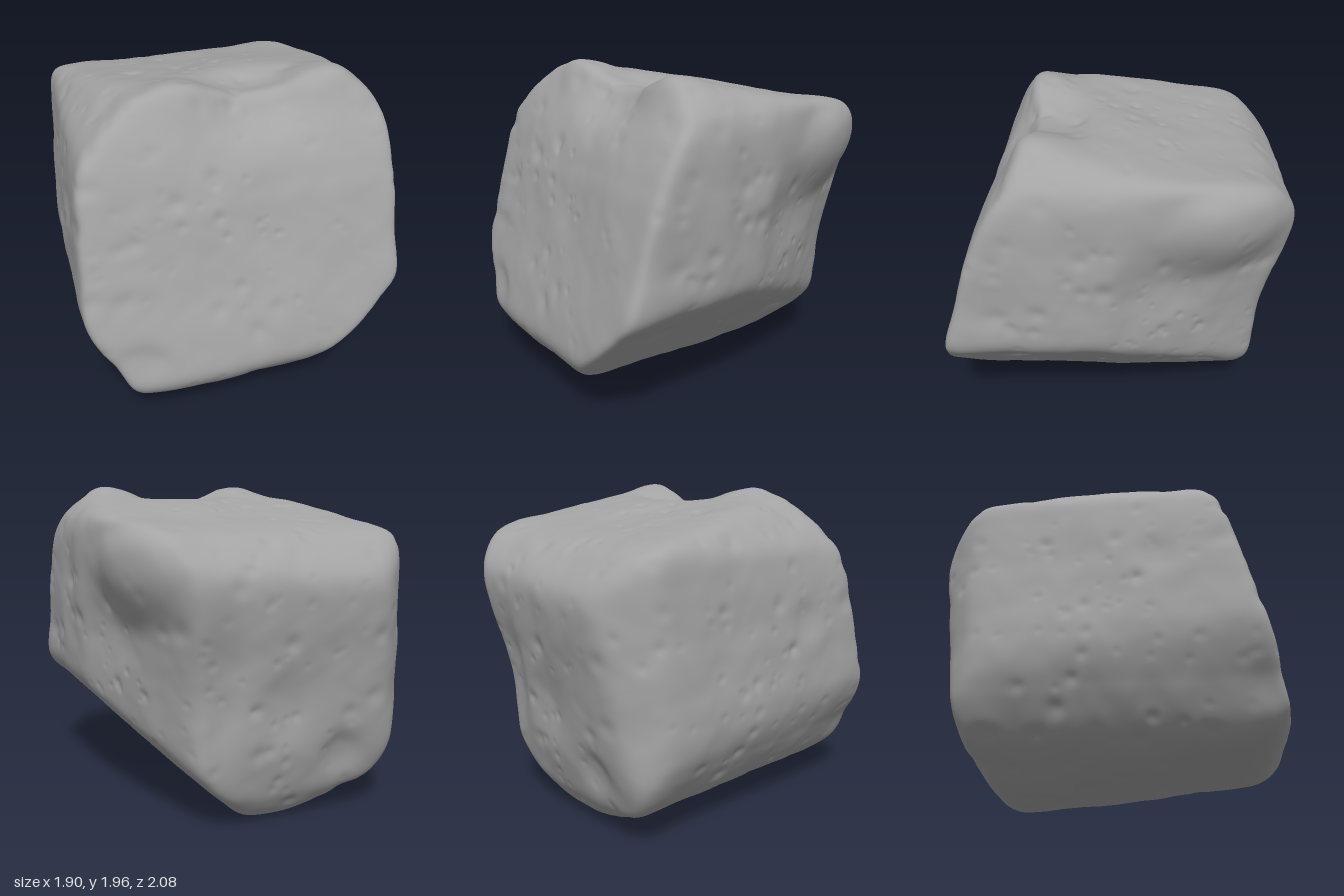
import * as THREE from 'three';
import { mergeVertices } from 'three/addons/utils/BufferGeometryUtils.js';

const CENTRE = new THREE.Vector3(0, 1, 0);

// Flat faces of the boulder: outward normal, then a point on the face
const FACES = [
  [-0.06, 0.27, 1, 0, 0.8, 0.935],      // front
  [0.04, -0.12, -1, 0, 0.9, -0.955],    // back
  [0, 1, -0.2, 0, 1.86, 0],             // top
  [0, -1, 0.14, 0, 0.07, 0],            // underside
  [1, 0, 0, 0.915, 1, 0],               // +x side
  [-1, 0.06, -0.06, -0.92, 1, 0],       // -x side
  [1, -1, 0, 0.55, 0.41, 0],            // big cut under the +x side
  [0.88, -0.1, -0.33, 0.91, 0.95, 0.08],// receding rear half of the +x side
  [-0.46, -0.89, 0, -0.5, 0.11, 0],     // slope under the -x side
  [-0.88, -0.47, 0, -0.81, 0.41, 0],    // steep lower -x bevel
  [-0.7, 0.7, 0, -0.8, 1.73, 0],        // upper -x bevel
  [0.7, 0.7, 0, 0.82, 1.84, 0],         // upper +x bevel
  [-0.7, 0, -0.7, -0.78, 1, -0.85],     // rear -x bevel
  [0, 0.7, -0.7, 0, 1.69, -0.82],       // upper rear bevel
  [0, -0.3, -0.95, 0, 0.35, -0.87],     // lower rear bevels
  [0, -0.75, -0.65, 0, 0.05, -0.73],
  [0, 0.48, 0.87, 0, 1.8, 0.6],         // upper front bevel
  [0, -0.6, 0.8, 0, 0.25, 0.95],        // lower front bevel
].map(([nx, ny, nz, x, y, z]) => {
  const n = new THREE.Vector3(nx, ny, nz).normalize();
  return { n, h: n.dot(new THREE.Vector3(x, y, z).sub(CENTRE)) };
});

// Broad hollows (positive) and swellings (negative): centre, radii, depth
const DENTS = [
  [0.17, 1.88, 0.45, 0.34, 0.3, 0.25, 0.12],    // scoop in the top front edge
  [0.53, 1.9, 0.42, 0.15, 0.2, 0.18, -0.05],    // horns either side of the scoop
  [-0.3, 1.9, 0.42, 0.14, 0.2, 0.18, -0.03],
  [0.78, 1.47, -0.62, 0.3, 0.24, 0.32, -0.16],  // overhanging rear +x corner
  [0.9, 1.12, -0.3, 0.25, 0.25, 0.3, 0.03],     // hollow in the +x side
  [0.9, 1.3, 0.2, 0.2, 0.5, 0.12, 0.02],
  [0.87, 0.82, 0.85, 0.15, 0.15, 0.2, -0.02],   // sharp lower front +x corner
  [0.4, 0.85, -0.95, 0.15, 0.4, 0.25, 0.05],    // groove in the back
  [0, 0.75, -0.95, 0.22, 0.22, 0.25, 0.03],
  [-0.4, 0.41, -0.87, 0.13, 0.13, 0.2, 0.04],
  [-0.92, 1.2, 0.3, 0.12, 0.12, 0.12, 0.02],    // shallow dish in the -x side
  [-0.7, 0.48, 0.9, 0.18, 0.13, 0.25, 0.04],    // chipped lower front corner
  [-0.6, 1.84, 0.4, 0.16, 0.2, 0.16, 0.03],     // nick in the top edge
  [0.67, 0.53, 0.6, 0.09, 0.09, 0.09, 0.025],   // craters on the cut
  [0.45, 0.32, -0.52, 0.1, 0.1, 0.1, 0.025],
];

function seeded(seed) {
  return () => {
    seed = (seed * 16807) % 2147483647;
    return seed / 2147483647;
  };
}

// Small round pits scattered over the surface
function makePits(count) {
  const rand = seeded(71);
  return Array.from({ length: count }, () => {
    const y = rand() * 2 - 1, a = rand() * Math.PI * 2, s = Math.sqrt(1 - y * y);
    const size = 0.02 + 0.045 * rand() ** 3;
    return { dir: new THREE.Vector3(s * Math.cos(a), y, s * Math.sin(a)), size, depth: size * 0.22 };
  });
}

// Gentle surface unevenness
function ripple(p) {
  let sum = 0;
  for (let i = 0, f = 5, a = 0.004; i < 4; i++, f *= 1.8, a *= 0.55) {
    sum += a * (Math.sin(f * p.x + 1.7 * i + 2 * Math.sin(f * 0.7 * p.y))
      + Math.sin(f * p.y + 2.3 * i + 2 * Math.sin(f * 0.7 * p.z))
      + Math.sin(f * p.z + 0.9 * i + 2 * Math.sin(f * 0.7 * p.x)));
  }
  return sum;
}

// Distance from the centre to the softened polyhedron along a direction
function faceRadius(d) {
  let sum = 0;
  for (const { n, h } of FACES) sum += Math.max(0, n.dot(d) / h) ** 30;
  return sum ** (-1 / 30);
}

function boulderGeometry() {
  let geo = new THREE.IcosahedronGeometry(1, 72);
  geo.deleteAttribute('normal');
  geo.deleteAttribute('uv');
  geo = mergeVertices(geo, 1e-5);
  const pos = geo.attributes.position;
  const pits = makePits(380);
  const d = new THREE.Vector3(), p = new THREE.Vector3();
  for (let i = 0; i < pos.count; i++) {
    d.fromBufferAttribute(pos, i).normalize();
    let r = faceRadius(d);
    p.copy(d).multiplyScalar(r).add(CENTRE);
    r += ripple(p);
    for (const [x, y, z, sx, sy, sz, depth] of DENTS) {
      const q = ((p.x - x) / sx) ** 2 + ((p.y - y) / sy) ** 2 + ((p.z - z) / sz) ** 2;
      r -= depth * Math.exp(-(q ** 1.4));
    }
    for (const pit of pits) {
      const q = d.distanceToSquared(pit.dir) / pit.size ** 2;
      if (q < 6) r -= pit.depth * (1 - 0.5 * q) * Math.exp(-q);
    }
    p.copy(d).multiplyScalar(r);
    pos.setXYZ(i, p.x, p.y, p.z);
  }
  // Centre it and stand it on the ground
  geo.computeBoundingBox();
  const mid = geo.boundingBox.getCenter(new THREE.Vector3());
  geo.translate(-mid.x, -geo.boundingBox.min.y, -mid.z);
  geo.computeVertexNormals();
  return geo;
}

export function createModel() {
  const group = new THREE.Group();
  group.name = 'rock';
  const boulder = new THREE.Mesh(
    boulderGeometry(),
    new THREE.MeshStandardMaterial({ color: 0xa4a4a4 }),
  );
  boulder.name = 'boulder';
  group.add(boulder);
  return group;
}
